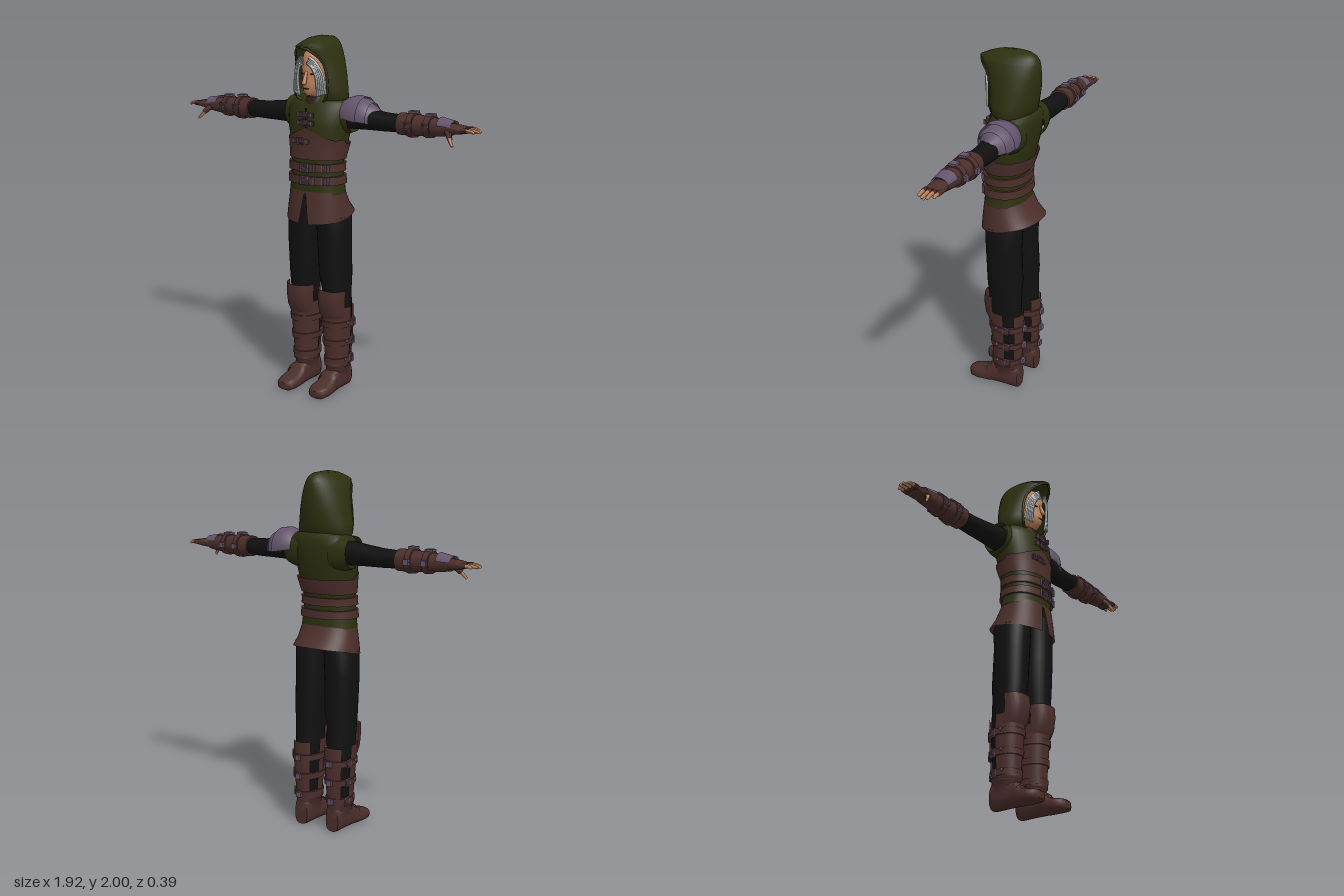
import * as THREE from 'three';
import { toCreasedNormals } from 'three/addons/utils/BufferGeometryUtils.js';

const colour = (name, color) => new THREE.MeshStandardMaterial({ name, color, side: THREE.DoubleSide });
const green = colour('green cloth', 0x2d300f), brown = colour('brown leather', 0x4b2e2a);
const dark = colour('dark leather', 0x2e1a17), purple = colour('purple steel', 0x63546c);
const black = colour('black cloth', 0x101010), skin = colour('skin', 0xb87f5a);
const white = colour('white hair', 0xb4babc);

// Skin over horizontal sections [y, cx, rx, zBack, zFront, frontOpening], listed from low to high.
// Angle 0 faces the front and a quarter turn faces +x.
function loft(secs, { n = 28, arc = null, p = 0.9, caps = false } = {}) {
  if (caps) {
    const flat = ([y, cx, , b, f]) => [y, cx, 0.0001, (b + f) / 2, (b + f) / 2];
    secs = [flat(secs[0]), ...secs, flat(secs[secs.length - 1])];
  }
  const pos = [], idx = [], pw = v => Math.sign(v) * Math.abs(v) ** p;
  for (const [y, cx, rx, b, f, open = 0] of secs) {
    const [t0, t1] = arc || [open, 2 * Math.PI - open];
    for (let j = 0; j <= n; j++) {
      const t = t0 + (t1 - t0) * j / n;
      pos.push(cx + rx * pw(Math.sin(t)), y, (b + f) / 2 + (f - b) / 2 * pw(Math.cos(t)));
    }
  }
  for (let i = 0; i < secs.length - 1; i++) for (let j = 0; j < n; j++) {
    const a = i * (n + 1) + j, d = a + n + 1;
    idx.push(a, a + 1, d + 1, a, d + 1, d);
  }
  const g = new THREE.BufferGeometry();
  g.setAttribute('position', new THREE.Float32BufferAttribute(pos, 3));
  g.setIndex(idx);
  return toCreasedNormals(g, 0.9);
}

// Same skin along +x, with sections [x, cy, ry, zBack, zFront]
const limb = (secs, o) => loft(secs.map(([x, cy, ...r]) => [x, -cy, ...r]), o).rotateZ(-Math.PI / 2);

// Section of a profile at a height, grown outwards
function at(prof, y, off = 0) {
  let i = 0;
  while (i < prof.length - 2 && prof[i + 1][0] < y) i++;
  const k = (y - prof[i][0]) / (prof[i + 1][0] - prof[i][0]);
  const [, cx, r, b, f] = prof[i].map((v, c) => v + (prof[i + 1][c] - v) * k);
  return [y, cx, r + off, b - off, f + off];
}
// Raised band that follows a profile
const band = (prof, y0, y1, off) =>
  [at(prof, y0), at(prof, y0, off), at(prof, (y0 + y1) / 2, off), at(prof, y1, off), at(prof, y1)];

// Tapered tube through points
function strand(pts, r0, r1, sides = 8) {
  const c = new THREE.CatmullRomCurve3(pts.map(q => new THREE.Vector3(...q)));
  const seg = 10, g = new THREE.TubeGeometry(c, seg, 1, sides), P = g.attributes.position, v = new THREE.Vector3();
  for (let i = 0; i < P.count; i++) {
    const u = Math.floor(i / (sides + 1)) / seg, q = c.getPointAt(u);
    v.fromBufferAttribute(P, i).sub(q).multiplyScalar(r0 + (r1 - r0) * u).add(q);
    P.setXYZ(i, v.x, v.y, v.z);
  }
  g.computeVertexNormals();
  return g;
}

function mirrored(geo) {
  const g = geo.index ? geo.toNonIndexed() : geo.clone();
  g.scale(-1, 1, 1);
  for (const a of [g.attributes.position, g.attributes.normal])
    for (let i = 0; i < a.count; i += 3) {
      const s = [a.getX(i), a.getY(i), a.getZ(i)];
      a.setXYZ(i, a.getX(i + 2), a.getY(i + 2), a.getZ(i + 2));
      a.setXYZ(i + 2, ...s);
    }
  return g;
}
const box = (w, h, d, x, y, z) => new THREE.BoxGeometry(w, h, d).translate(x, y, z);
const ball = (rx, ry, rz, x, y, z) => new THREE.SphereGeometry(1, 16, 10).scale(rx, ry, rz).translate(x, y, z);
// Square buckle frame facing +z
const frame = (w, h) => new THREE.TorusGeometry(1, 0.22, 4, 4).rotateZ(Math.PI / 4).scale(w * 0.7, h * 0.7, 0.03).toNonIndexed();

const torso = [[1.15, 0, 0.165, -0.11, 0.125], [1.22, 0, 0.155, -0.105, 0.123], [1.31, 0, 0.15, -0.1, 0.12],
  [1.42, 0, 0.165, -0.13, 0.115], [1.52, 0, 0.185, -0.15, 0.12], [1.6, 0, 0.19, -0.16, 0.105],
  [1.64, 0, 0.185, -0.16, 0.08], [1.67, 0, 0.14, -0.15, 0.06], [1.69, 0, 0.08, -0.12, 0.04]];
const leg = [[0.1, 0.108, 0.05, -0.11, 0.03], [0.2, 0.108, 0.056, -0.115, 0.035], [0.34, 0.108, 0.066, -0.125, 0.045],
  [0.45, 0.108, 0.07, -0.125, 0.055], [0.6, 0.108, 0.074, -0.118, 0.07], [0.68, 0.102, 0.083, -0.125, 0.08],
  [0.88, 0.1, 0.09, -0.112, 0.088], [1.02, 0.096, 0.09, -0.12, 0.095], [1.12, 0.08, 0.08, -0.1, 0.1]];
const bracer = [[0.495, 1.56, 0.058, -0.115, 0.01], [0.55, 1.56, 0.058, -0.115, 0.01],
  [0.64, 1.56, 0.053, -0.108, 0.004], [0.74, 1.56, 0.044, -0.098, -0.004], [0.8, 1.56, 0.036, -0.095, -0.005]];

export function createModel() {
  const model = new THREE.Group();
  const add = (name, geo, mat) => {
    const m = new THREE.Mesh(geo, mat);
    m.name = name;
    model.add(m);
  };
  const pair = (name, geo, mat) => {
    add(name + 'Left', geo, mat);
    add(name + 'Right', mirrored(geo), mat);
  };

  // Head and face
  add('head', loft([[1.62, 0, 0.05, -0.08, 0.04], [1.675, 0, 0.05, -0.08, 0.05], [1.688, 0, 0.033, -0.06, 0.105],
    [1.71, 0, 0.052, -0.08, 0.118], [1.75, 0, 0.067, -0.1, 0.118], [1.8, 0, 0.075, -0.11, 0.114],
    [1.86, 0, 0.076, -0.12, 0.118], [1.91, 0, 0.066, -0.11, 0.1], [1.95, 0, 0.02, -0.05, 0.04]], { p: 1, caps: true }), skin);
  add('nose', strand([[0, 1.815, 0.112], [0, 1.785, 0.124], [0, 1.755, 0.134]], 0.007, 0.013), skin);
  add('noseTip', ball(0.014, 0.01, 0.013, 0, 1.755, 0.134), skin);
  add('mouth', ball(0.02, 0.004, 0.004, 0, 1.724, 0.117), dark);
  pair('eye', ball(0.012, 0.005, 0.004, 0.03, 1.802, 0.106), dark);
  // Long hair falling from a middle parting
  for (let i = 0; i < 5; i++) {
    const s = i * 0.011;
    pair('hairLock' + i, strand([[0.012 + s * 0.3, 1.86 + s * 0.7, 0.122], [0.036 + s * 0.5, 1.848 + s * 0.4, 0.124 - s * 0.3],
      [0.058 + s * 0.7, 1.8, 0.112 - s * 0.5], [0.062 + s * 0.8, 1.74, 0.104 - s * 0.4],
      [0.058 + s, 1.685 + s * 0.3, 0.098 - s * 0.4]], 0.009, 0.006), white);
  }

  // Hood with a forward peak and an open face
  add('hood', loft([[1.645, 0, 0.145, -0.12, 0.06, 0.45], [1.67, 0, 0.163, -0.14, 0.085, 0.6], [1.72, 0, 0.156, -0.152, 0.105, 0.75],
    [1.8, 0, 0.137, -0.168, 0.117, 0.83], [1.87, 0, 0.12, -0.172, 0.13, 0.78], [1.91, 0, 0.106, -0.172, 0.15, 0.62],
    [1.935, 0, 0.096, -0.17, 0.165, 0.4], [1.95, 0, 0.088, -0.167, 0.172, 0.02], [1.972, 0, 0.07, -0.155, 0.125],
    [1.99, 0, 0.046, -0.125, 0.07], [2, 0, 0.001, -0.03, 0]], { n: 40, p: 1 }), green);
  pair('hoodRim', strand([[0.0, 1.947, 0.168], [0.04, 1.933, 0.15], [0.062, 1.91, 0.126], [0.085, 1.87, 0.086],
    [0.101, 1.8, 0.071], [0.106, 1.72, 0.07], [0.092, 1.67, 0.066], [0.063, 1.645, 0.052]], 0.007, 0.007), green);
  add('collar', loft([[1.625, 0, 0.088, -0.1, 0.085], [1.655, 0, 0.08, -0.1, 0.078], [1.675, 0, 0.072, -0.09, 0.066]]), dark);

  // Vest and armholes
  add('vest', loft(torso, { n: 36, caps: true }), green);
  pair('vestShoulder', limb([[0.1, 1.57, 0.1, -0.15, 0.05], [0.16, 1.57, 0.096, -0.145, 0.045],
    [0.205, 1.575, 0.086, -0.135, 0.035]]).rotateZ(-0.0), green);

  // Pointed corset and belts
  const corset = loft([1.34, 1.37, 1.4, 1.43, 1.45].map(y => at(torso, y, 0.009)), { n: 48 });
  const P = corset.attributes.position;
  for (let i = 0; i < P.count; i++) {
    const x = P.getX(i), k = (P.getY(i) - 1.34) / 0.11;
    if (P.getZ(i) > 0) P.setY(i, P.getY(i) + k * 0.065 * Math.max(0, 1 - Math.abs(x) / 0.15));
    else P.setY(i, P.getY(i) - k * 0.025);
  }
  add('corset', corset, brown);
  add('upperBelt', loft(band(torso, 1.275, 1.32, 0.013), { n: 36 }), brown);
  add('lowerBelt', loft(band(torso, 1.205, 1.25, 0.013), { n: 36 }), brown);
  for (const y of [1.297, 1.228]) {
    add('beltBuckle', frame(0.05, 0.042).translate(0, y, 0.139), purple);
    add('beltPin', box(0.045, 0.008, 0.012, 0.005, y, 0.142), purple);
    for (const x of [0.06, 0.105, 0.13])
      add('beltLoop', box(0.01, 0.042, 0.014, x, y, 0.138 - x * x * 2.4), purple);
  }

  // Chest fastenings
  for (const [y, x] of [[1.585, 0], [1.54, 0], [1.44, -0.03]]) {
    add('chestStrap', box(0.11, 0.022, 0.012, x, y, 0.124), brown);
    add('chestBuckle', frame(0.034, 0.032).translate(x, y, 0.134), purple);
    for (const s of [-1, 1]) add('chestStud', box(0.012, 0.026, 0.016, x + s * 0.045, y, 0.128), purple);
  }
  add('chestSeam', box(0.008, 0.13, 0.006, 0, 1.555, 0.119), dark);

  // Split skirt with a slanted hem
  const skirt = loft([[1.015, 0, 0.188, -0.19, 0.148, 0.13], [1.08, 0, 0.175, -0.145, 0.14, 0.08],
    [1.165, 0, 0.16, -0.108, 0.128, 0.01]], { n: 40 });
  const S = skirt.attributes.position;
  for (let i = 0; i < S.count; i++) {
    const k = (1.165 - S.getY(i)) / 0.15;
    S.setY(i, S.getY(i) - k * 0.2 * S.getZ(i));
  }
  skirt.computeVertexNormals();
  add('skirt', toCreasedNormals(skirt, 0.9), brown);

  // Trousers, boots, shin and knee guards
  pair('trouserLeg', loft(leg, { caps: true }), black);
  pair('bootShaft', loft([0.14, 0.2, 0.34, 0.45, 0.5].map(y => at(leg, y, 0.01)), { arc: [-1.7, 1.7] }), brown);
  pair('bootBack', loft([0.1, 0.2, 0.34, 0.45, 0.49].map(y => at(leg, y, 0.01)), { arc: [2.35, 3.93], n: 12 }), brown);
  pair('bootAnkle', loft([[0.07, 0.108, 0.054, -0.118, 0.045], [0.14, 0.108, 0.056, -0.118, 0.042], [0.15, 0.108, 0.066, -0.122, 0.052],
    [0.172, 0.108, 0.066, -0.122, 0.05], [0.18, 0.108, 0.06, -0.12, 0.044]]), brown);
  pair('kneeGuard', loft([[0.44, 0.108, 0.078, -0.11, 0.066], [0.48, 0.108, 0.081, -0.1, 0.086],
    [0.55, 0.108, 0.084, -0.1, 0.096], [0.605, 0.108, 0.086, -0.1, 0.09]], { arc: [-1.45, 1.45], p: 0.8 }), brown);
  for (const y of [0.18, 0.29, 0.4]) {
    pair('bootStrap', loft(band(leg, y - 0.017, y + 0.017, 0.017)), brown);
    const [, cx, rx, zb] = at(leg, y, 0.02);
    pair('bootBuckle', frame(0.034, 0.042).rotateY(Math.PI / 2).translate(cx + rx * 0.9, y, -0.07), purple);
    pair('bootBackBuckle', box(0.03, 0.03, 0.016, cx, y, zb - 0.004), purple);
    pair('bootStud', ball(0.006, 0.009, 0.009, cx + rx * 0.98, y + 0.01, -0.01), purple);
  }
  // Feet: skin run along z, where section depth is height
  pair('foot', loft([[-0.12, 0.108, 0.042, -0.13, 0], [-0.105, 0.108, 0.05, -0.15, 0], [-0.02, 0.108, 0.05, -0.15, 0],
    [0.04, 0.108, 0.052, -0.125, 0], [0.085, 0.11, 0.058, -0.085, 0], [0.14, 0.11, 0.062, -0.07, 0],
    [0.18, 0.11, 0.05, -0.062, 0], [0.198, 0.11, 0.025, -0.05, -0.01]], { p: 0.7, caps: true }).rotateX(Math.PI / 2), brown);
  pair('instepBand', loft([[0.05, 0.109, 0.056, -0.125, 0], [0.062, 0.109, 0.06, -0.118, 0], [0.078, 0.109, 0.06, -0.1, 0]],
    { p: 0.7 }).rotateX(Math.PI / 2), brown);

  // Sleeves, bracers and gloves
  pair('sleeve', limb([[0.1, 1.575, 0.07, -0.12, 0.025], [0.2, 1.57, 0.064, -0.118, 0.02], [0.3, 1.565, 0.056, -0.112, 0.01],
    [0.4, 1.56, 0.05, -0.11, 0.004], [0.52, 1.56, 0.046, -0.105, 0]], { caps: true }), black);
  pair('bracer', limb(bracer, { caps: true }), brown);
  for (const x of [0.575, 0.675]) {
    pair('bracerStrap', limb(band(bracer, x - 0.016, x + 0.016, 0.009)), brown);
    const [, cy, ry, zb, zf] = at(bracer, x, 0.012);
    pair('bracerTopBuckle', box(0.045, 0.012, 0.04, x, cy + ry, -0.05), purple);
    pair('bracerFrontBuckle', frame(0.038, 0.036).translate(x, cy, zf), purple);
    pair('bracerBackBuckle', box(0.03, 0.03, 0.014, x, cy, zb), purple);
  }
  pair('wristPlate', limb([[0.735, 1.56, 0.056, -0.108, 0.006], [0.775, 1.56, 0.048, -0.104, 0.002],
    [0.815, 1.56, 0.042, -0.1, 0]], { arc: [-2.9, -0.25] }), purple);
  pair('glove', limb([[0.78, 1.56, 0.03, -0.09, -0.008], [0.82, 1.56, 0.027, -0.098, -0.002],
    [0.865, 1.56, 0.021, -0.102, -0.004], [0.885, 1.56, 0.015, -0.1, -0.008]], { caps: true }), brown);
  [0.935, 0.956, 0.96, 0.945].forEach((tip, i) => {
    const z = -0.092 + i * 0.026;
    pair('gloveFinger' + i, strand([[0.87, 1.56, z], [0.89, 1.562, z], [0.905, 1.562, z]], 0.0135, 0.0125), brown);
    pair('finger' + i, strand([[0.89, 1.562, z], [0.92, 1.562, z], [tip - 0.004, 1.557, z]], 0.011, 0.008), skin);
    pair('fingertip' + i, ball(0.008, 0.008, 0.008, tip - 0.006, 1.557, z), skin);
  });
  pair('gloveThumb', strand([[0.79, 1.55, -0.02], [0.805, 1.535, -0.004], [0.82, 1.515, 0.01]], 0.018, 0.014), brown);
  pair('thumb', strand([[0.81, 1.528, 0.003], [0.828, 1.503, 0.018], [0.845, 1.482, 0.028]], 0.012, 0.007), skin);

  // Layered shoulder guard on the left only
  const layers = [
    [[0.14, 1.585, 0.06, -0.13, 0.03], [0.17, 1.585, 0.088, -0.155, 0.045], [0.22, 1.58, 0.108, -0.17, 0.052], [0.27, 1.572, 0.11, -0.168, 0.05]],
    [[0.24, 1.575, 0.1, -0.16, 0.042], [0.28, 1.572, 0.1, -0.158, 0.04], [0.315, 1.565, 0.088, -0.14, 0.022]],
    [[0.28, 1.568, 0.09, -0.145, 0.03], [0.32, 1.562, 0.078, -0.128, 0.01], [0.36, 1.556, 0.062, -0.095, -0.025]]];
  layers.forEach((l, i) => add('shoulderPlate' + i, limb(l, { arc: [-3.3, 0.16], p: 1 }), purple));
  return model;
}
